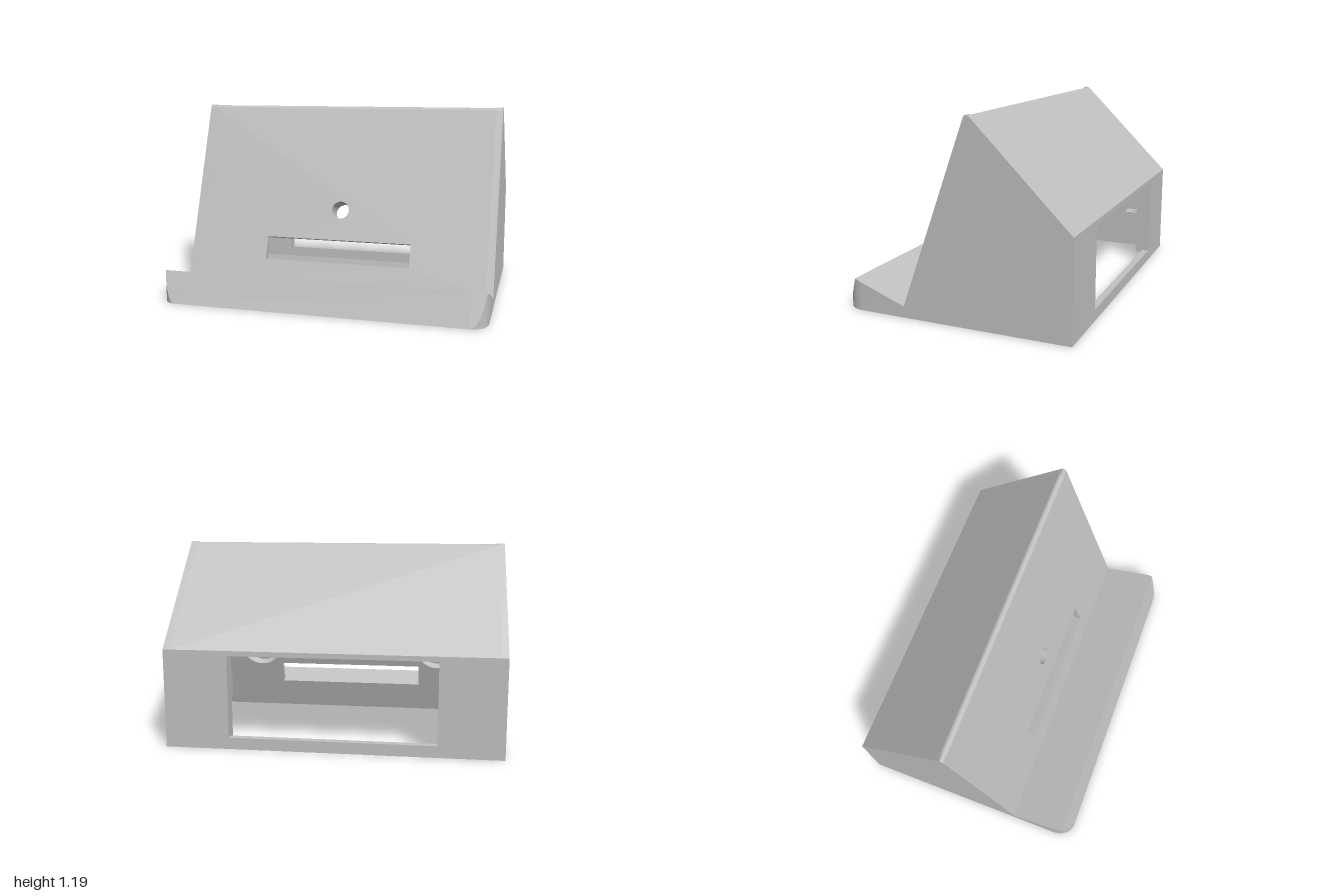
import * as THREE from 'three';
import { toCreasedNormals } from 'three/addons/utils/BufferGeometryUtils.js';

const T = 0.043; // wall thickness
const SLOPE = Math.tan(Math.PI / 9);
// profile corners as [z, y]
const APEX = [-0.103, 1.207], VALLEY = [0.311, 0.068];
const BACK_TOP = [-0.715, 0.595], BACK_BOTTOM = [-0.715, 0];
const ROUND = 0.039, ROD = 0.025;

const toward = (p, q, d) => {
  const l = Math.hypot(q[0] - p[0], q[1] - p[1]);
  return [p[0] + (q[0] - p[0]) * d / l, p[1] + (q[1] - p[1]) * d / l];
};
const rect = (cls, x0, y0, x1, y1) =>
  new cls([[x0, y0], [x1, y0], [x1, y1], [x0, y1]].map(p => new THREE.Vector2(...p)));
const circle = (cls, x, y, r) => new cls().absarc(x, y, r, 0, Math.PI * 2, false);

export function createModel() {
  const model = new THREE.Group();
  const grey = new THREE.MeshStandardMaterial({ color: 0xc0c0c0, side: THREE.DoubleSide });
  grey.name = 'light grey';

  const add = (name, geo, parent = model) => {
    const mesh = new THREE.Mesh(geo, grey);
    mesh.name = name;
    parent.add(mesh);
    return mesh;
  };
  const slab = (shape, depth, offset = 0) => {
    const g = new THREE.ExtrudeGeometry(shape, { depth, bevelEnabled: false, curveSegments: 32 });
    g.translate(0, 0, offset);
    return toCreasedNormals(g, 0.5);
  };

  // a wall running between two profile points, local z pointing outward
  const panel = (name, p, q, holes = []) => {
    const group = new THREE.Group();
    group.name = name;
    const len = Math.hypot(q[0] - p[0], q[1] - p[1]);
    const dir = new THREE.Vector3(0, (q[1] - p[1]) / len, (q[0] - p[0]) / len);
    const right = new THREE.Vector3(1, 0, 0);
    const out = new THREE.Vector3().crossVectors(right, dir);
    group.quaternion.setFromRotationMatrix(new THREE.Matrix4().makeBasis(right, dir, out));
    group.position.set(0, p[1], p[0]);
    const shape = rect(THREE.Shape, -1 + T, 0, 1 - T, len);
    shape.holes.push(...holes);
    add(name + 'Wall', slab(shape, T, -T), group);
    model.add(group);
    return group;
  };

  const frontTop = toward(APEX, VALLEY, ROUND);
  const roofTop = toward(APEX, BACK_TOP, ROUND);

  // leaning front rest with cable slot and round hole
  const front = panel('frontRest', VALLEY, frontTop, [
    rect(THREE.Path, -0.475, 0.146, 0.475, 0.294),
    circle(THREE.Path, 0, 0.491, 0.056),
  ]);
  const block = rect(THREE.Shape, -0.16, 0.385, 0.16, 0.597);
  block.holes.push(circle(THREE.Path, 0, 0.491, 0.056));
  add('holeBlock', slab(block, 0.08, -T - 0.08), front);
  for (const s of [-1, 1]) {
    const ring = circle(THREE.Shape, s * 0.6, 0.455, 0.17);
    ring.holes.push(circle(THREE.Path, s * 0.6, 0.455, 0.13));
    add('ringBoss', slab(ring, 0.06, -T - 0.06), front);
  }

  // sloping roof, rounded ridge and back wall with its window
  panel('roof', roofTop, BACK_TOP);
  const rod = new THREE.CylinderGeometry(ROD, ROD, 2 - 2 * T, 24);
  rod.rotateZ(Math.PI / 2);
  add('ridge', rod).position.set(0, 1.1616, -0.113);
  panel('back', BACK_TOP, BACK_BOTTOM, [rect(THREE.Path, -0.615, 0.03, 0.615, 0.525)]);

  // side walls
  const side = new THREE.Shape();
  side.moveTo(0.336, 0);
  side.lineTo(...frontTop);
  side.quadraticCurveTo(...APEX, ...roofTop);
  side.lineTo(...BACK_TOP);
  side.lineTo(...BACK_BOTTOM);
  const sideGeo = slab(side, T);
  sideGeo.rotateY(-Math.PI / 2); // local x to +z, depth to -x
  for (const s of [-1, 1]) {
    add('sideWall', sideGeo).position.x = s > 0 ? 1 : -1 + T;

    // window rails
    const rail = new THREE.BoxGeometry(0.035, 0.52, 0.05);
    add('windowRail', rail).position.set(s * 0.6325, 0.315, -0.649);

    // screw posts for the base plate
    for (const z of [0.14, -0.54]) {
      const post = rect(THREE.Shape, -0.055, -0.07, 0.055, 0.07);
      post.holes.push(circle(THREE.Path, 0, 0, 0.02));
      const g = slab(post, 0.2);
      g.rotateX(-Math.PI / 2);
      add('screwPost', g).position.set(s * 0.905, 0.08, z);
    }
  }

  // front lip: cross-sections along x, with upright rounded front corners
  const RX = 0.1, RZ = 0.12, Z0 = 0.715;
  const lipTop = z => 0.19 + SLOPE * (z - 0.645);
  const section = m => {
    const c = Math.min(0.645, m);
    return [[m, 0], [m, Math.min((Z0 - m) / SLOPE, lipTop(m))], [c, lipTop(c)],
      VALLEY, [0.265, 0.068], [0.29, 0]];
  };
  const half = [];
  for (let i = 0; i <= 16; i++) {
    const a = i / 16 * Math.PI / 2;
    half.push([1 - RX + RX * Math.sin(a), Z0 - RZ + RZ * Math.cos(a)]);
  }
  const stations = [...half.map(([x, z]) => [-x, z]).reverse(), ...half];
  const pos = [];
  const tri = (...pts) => pts.forEach(([x, [z, y]]) => pos.push(x, y, z));
  for (let i = 0; i + 1 < stations.length; i++) {
    const [x0, m0] = stations[i], [x1, m1] = stations[i + 1];
    const a = section(m0), b = section(m1);
    for (let j = 0; j < 5; j++) {
      tri([x0, a[j]], [x1, b[j]], [x1, b[j + 1]]);
      tri([x0, a[j]], [x1, b[j + 1]], [x0, a[j + 1]]);
    }
  }
  const end = section(Z0 - RZ);
  for (let j = 1; j < 5; j++) {
    tri([-1, end[0]], [-1, end[j]], [-1, end[j + 1]]);
    tri([1, end[0]], [1, end[j + 1]], [1, end[j]]);
  }
  const lip = new THREE.BufferGeometry();
  lip.setAttribute('position', new THREE.Float32BufferAttribute(pos, 3));
  lip.computeVertexNormals();
  add('frontLip', toCreasedNormals(lip, 0.3));

  // underside of the lip with two round foot recesses
  const FOOT_R = 0.11, FOOT_D = 0.04;
  const base = new THREE.Shape(
    [[-1, 0.29], [1, 0.29], ...[...half].reverse(), ...half.map(([x, z]) => [-x, z])]
      .map(p => new THREE.Vector2(...p)));
  for (const s of [-1, 1]) {
    base.holes.push(circle(THREE.Path, s * 0.74, 0.56, FOOT_R));
    const wall = new THREE.CylinderGeometry(FOOT_R, FOOT_R, FOOT_D, 32, 1, true);
    add('footRecessWall', wall).position.set(s * 0.74, FOOT_D / 2, 0.56);
    const floor = new THREE.CircleGeometry(FOOT_R, 32);
    floor.rotateX(Math.PI / 2);
    add('footRecessFloor', floor).position.set(s * 0.74, FOOT_D, 0.56);
  }
  const baseGeo = new THREE.ShapeGeometry(base, 32);
  baseGeo.rotateX(Math.PI / 2);
  add('lipUnderside', baseGeo);

  return model;
}
